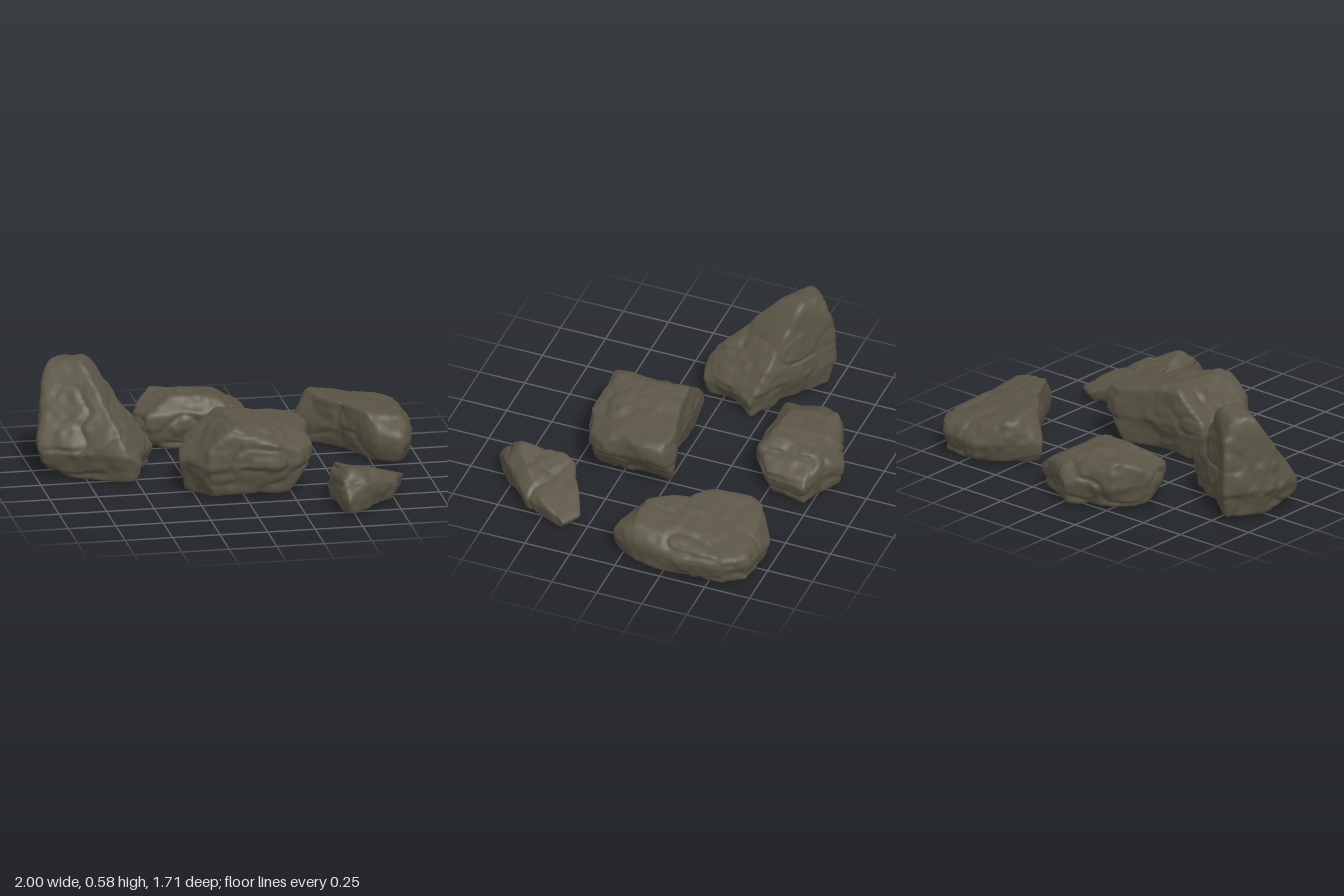
import * as THREE from 'three';
import { mergeVertices } from 'three/addons/utils/BufferGeometryUtils.js';

const BASE = 0.022; // underside height
const TAPER_UP = 0.07; // wall lean above the waist
const TAPER_DOWN = 0.3; // wall lean below the waist
const SHARPNESS = 32; // higher gives crisper edges

// Smooth lattice noise in -1..1
function hash(x, y, z) {
  const s = Math.sin(x * 127.1 + y * 311.7 + z * 74.7) * 43758.5453;
  return s - Math.floor(s);
}
function noise(x, y, z) {
  const [i, j, k] = [x, y, z].map(Math.floor);
  const [u, v, w] = [x - i, y - j, z - k].map((t) => t * t * (3 - 2 * t));
  const mix = THREE.MathUtils.lerp;
  const row = (b, c) => mix(hash(i, b, c), hash(i + 1, b, c), u);
  return mix(mix(row(j, k), row(j + 1, k), v), mix(row(j, k + 1), row(j + 1, k + 1), v), w) * 2 - 1;
}

// Distance from the centre to the plan outline along a horizontal direction
function outlineReach(outline, cx, cz, dx, dz) {
  let reach = 0.02;
  outline.forEach(([ax, az], i) => {
    const [bx, bz] = outline[(i + 1) % outline.length];
    const ex = bx - ax, ez = bz - az, det = dx * ez - dz * ex;
    if (Math.abs(det) < 1e-9) return;
    const t = ((ax - cx) * ez - (az - cz) * ex) / det;
    const s = ((ax - cx) * dz - (az - cz) * dx) / det;
    if (s >= -1e-6 && s <= 1 + 1e-6) reach = Math.max(reach, t);
  });
  return reach;
}

// Chisel plane: compass angle from +x towards +z, tilt from level, distance from the centre
function chisel([angle, tilt, distance]) {
  const a = THREE.MathUtils.degToRad(angle), t = THREE.MathUtils.degToRad(tilt);
  return { normal: new THREE.Vector3(Math.sin(t) * Math.cos(a), Math.cos(t), Math.sin(t) * Math.sin(a)), distance };
}

// A fine sphere pushed out to the softened meeting of walls and chisel planes
function rockGeometry([cx, cy, cz], outline, facets) {
  const sphere = new THREE.IcosahedronGeometry(1, 28);
  sphere.deleteAttribute('uv');
  sphere.deleteAttribute('normal');
  const geometry = mergeVertices(sphere, 1e-5);
  const pos = geometry.attributes.position;
  const cuts = [...facets, [0, 180, cy - BASE]].map(chisel);
  const d = new THREE.Vector3();
  for (let i = 0; i < pos.count; i++) {
    d.fromBufferAttribute(pos, i).normalize();
    const flat = Math.max(Math.hypot(d.x, d.z), 1e-4);
    const reach = outlineReach(outline, cx, cz, d.x / flat, d.z / flat);
    const taper = d.y > 0 ? TAPER_UP : TAPER_DOWN;
    let sum = (reach / (flat + taper * Math.abs(d.y))) ** -SHARPNESS;
    for (const { normal, distance } of cuts) {
      const facing = d.dot(normal);
      if (facing > 1e-3) sum += (distance / facing) ** -SHARPNESS;
    }
    const r = sum ** (-1 / SHARPNESS) * 1.012;
    const x = cx + d.x * r, y = cy + d.y * r, z = cz + d.z * r;
    // broad lumps, creases and fine grain
    const lumps = noise(x * 8, y * 8, z * 8) * 0.01;
    const crease = -0.012 * Math.max(0, 1 - 5 * Math.abs(noise(x * 6 + 9, y * 9, z * 6 + 4)));
    const grain = noise(x * 24, y * 24, z * 24) * 0.006;
    const k = r + lumps + crease + grain + 0.002;
    pos.setXYZ(i, cx + d.x * k, Math.max(0, cy + d.y * k), cz + d.z * k);
  }
  geometry.computeVertexNormals();
  return geometry;
}

export function createModel() {
  const stone = new THREE.MeshStandardMaterial({ color: 0x5a5545 });
  stone.name = 'stone';
  const group = new THREE.Group();
  group.name = 'rocks';

  // centre, plan outline as x and z, then chisel planes
  function addRock(name, centre, outline, facets) {
    const mesh = new THREE.Mesh(rockGeometry(centre, outline, facets), stone);
    mesh.name = name;
    group.add(mesh);
  }

  // tall rock with a steep sloping face
  addRock('tallRock', [-0.68, 0.17, -0.18],
    [[-0.83, -0.5], [-0.36, -0.2], [-0.44, -0.06], [-0.48, 0.12], [-0.58, 0.12], [-1, -0.09], [-0.95, -0.32]],
    [[200, 6, 0.427], [23, 52, 0.198], [121, 58, 0.198], [-66, 60, 0.345], [150, 145, 0.228]]);

  // broad block with an undercut end
  addRock('broadRock', [0.04, 0.19, 0.22],
    [[-0.25, 0.01], [0.06, 0], [0.28, -0.05], [0.37, -0.01], [0.39, 0.09], [0.35, 0.22], [0.37, 0.32],
      [0.29, 0.42], [0.16, 0.47], [-0.2, 0.44], [-0.33, 0.25]],
    [[0, 10, 0.183], [180, 41, 0.228], [0, 127, 0.254], [45, 30, 0.215], [90, 45, 0.283]]);

  // low domed rock at the back, undercut at its front corner
  addRock('backRock', [-0.1, 0.14, -0.6],
    [[-0.41, -0.56], [-0.29, -0.75], [-0.16, -0.8], [-0.05, -0.86], [0.08, -0.78], [0.2, -0.73], [0.17, -0.52],
      [0.03, -0.4], [-0.36, -0.41]],
    [[-56, 8, 0.135], [-90, 45, 0.187], [170, 30, 0.205], [0, 30, 0.168], [90, 45, 0.187], [135, 140, 0.237]]);

  // wedge with a long tapering tail
  addRock('wedgeRock', [0.78, 0.13, -0.38],
    [[0.4, -0.49], [0.52, -0.64], [0.66, -0.73], [0.89, -0.7], [0.97, -0.59], [1, -0.35], [0.97, -0.08],
      [0.89, 0.05], [0.76, -0.01], [0.6, -0.28]],
    [[-31, 12, 0.105], [80, 35, 0.282], [0, 49, 0.174], [180, 51, 0.287], [-90, 53, 0.275]]);

  // small sliver at the front
  addRock('smallRock', [0.6, 0.09, 0.57],
    [[0.41, 0.51], [0.47, 0.42], [0.62, 0.36], [0.75, 0.29], [0.84, 0.35], [0.74, 0.6], [0.57, 0.78],
      [0.46, 0.86], [0.43, 0.77]],
    [[-45, 19, 0.088], [80, 45, 0.198], [180, 53, 0.186], [27, 44, 0.108], [90, 125, 0.244]]);

  return group;
}
